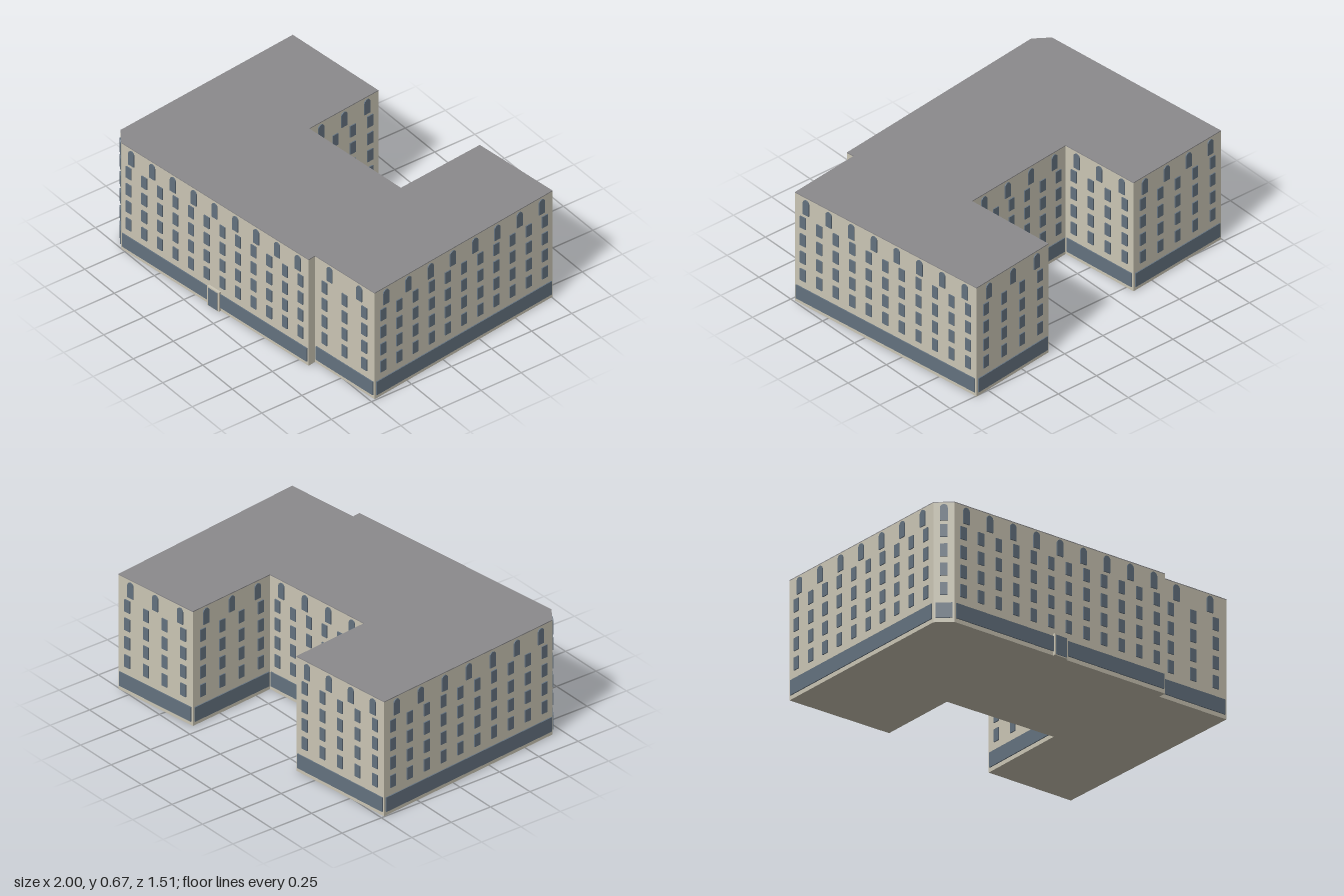
import * as THREE from 'three';

const material = (name, color) => {
  const m = new THREE.MeshStandardMaterial({ color });
  m.name = name;
  return m;
};

// Footprint corners [x, z]; walking along them keeps the outside on the same hand
const FOOTPRINT = [
  [-0.997, -0.48], [-0.867, 0.69], [-0.78, 0.75], [0.57, 0.575], [0.563, 0.53], [0.993, 0.475],
  [0.83, -0.755], [0.305, -0.688], [0.36, -0.155], [-0.315, -0.08], [-0.367, -0.55],
];
const HEIGHT = 0.667, ROOF = 0.005, PROUD = 0.006;

export function createModel() {
  const stone = material('stone', 0xcbc6b5);
  const glass = material('glass', 0x64727f);
  const roofing = material('roofing', 0x8b8a8c);

  const group = new THREE.Group();
  group.name = 'building';

  const add = (parent, name, geometry, mat, x = 0, y = 0, z = 0) => {
    const mesh = new THREE.Mesh(geometry, mat);
    mesh.name = name;
    mesh.position.set(x, y, z);
    parent.add(mesh);
  };

  // Solid body and thin roof slab from the same outline
  const outline = new THREE.Shape(FOOTPRINT.map(([x, z]) => new THREE.Vector2(x, -z)));
  const slab = (depth) =>
    new THREE.ExtrudeGeometry(outline, { depth, bevelEnabled: false }).rotateX(-Math.PI / 2);
  add(group, 'body', slab(HEIGHT - ROOF), stone);
  add(group, 'roof', slab(ROOF), roofing, 0, HEIGHT - ROOF, 0);

  // Shared window geometries
  const windowGeometry = new THREE.BoxGeometry(0.038, 0.07, PROUD);
  const arch = new THREE.Shape();
  arch.moveTo(-0.02, 0);
  arch.lineTo(0.02, 0);
  arch.lineTo(0.02, 0.07);
  arch.absarc(0, 0.07, 0.02, 0, Math.PI);
  arch.closePath();
  const archGeometry = new THREE.ExtrudeGeometry(arch, { depth: PROUD, bevelEnabled: false, curveSegments: 6 });

  // Each facade: local x runs along the wall, local z points outward
  FOOTPRINT.forEach(([ax, az], i) => {
    const [bx, bz] = FOOTPRINT[(i + 1) % FOOTPRINT.length];
    const length = Math.hypot(bx - ax, bz - az);
    if (length < 0.08) return; // the small step in the front stays blank

    const facade = new THREE.Group();
    facade.name = 'facade';
    facade.position.set(ax, 0, az);
    facade.rotation.y = Math.atan2(az - bz, bx - ax);
    group.add(facade);

    // Ground-floor shop glazing
    add(facade, 'groundFloorGlazing', new THREE.BoxGeometry(length - 0.02, 0.083, PROUD), glass,
      length / 2, 0.0645, PROUD / 2);

    // Four rows of rectangular windows
    const columns = Math.max(1, Math.floor(length / 0.11));
    for (let c = 0; c < columns; c++) {
      for (let row = 0; row < 4; row++) {
        add(facade, 'window', windowGeometry, glass,
          (c + 0.5) * length / columns, 0.185 + row * 0.107, PROUD / 2);
      }
    }

    // Wider-spaced arched windows on the top floor
    const arches = Math.max(1, Math.floor(length / 0.15));
    for (let c = 0; c < arches; c++) {
      add(facade, 'archedWindow', archGeometry, glass, (c + 0.5) * length / arches, 0.562, 0);
    }

    // Entrance on the long front
    if (i === 2) {
      add(facade, 'doorFrame', new THREE.BoxGeometry(0.084, 0.12, 0.014), stone, length / 2, 0.06, 0.007);
      add(facade, 'door', new THREE.BoxGeometry(0.068, 0.107, 0.004), glass, length / 2, 0.0585, 0.015);
    }
  });

  return group;
}
